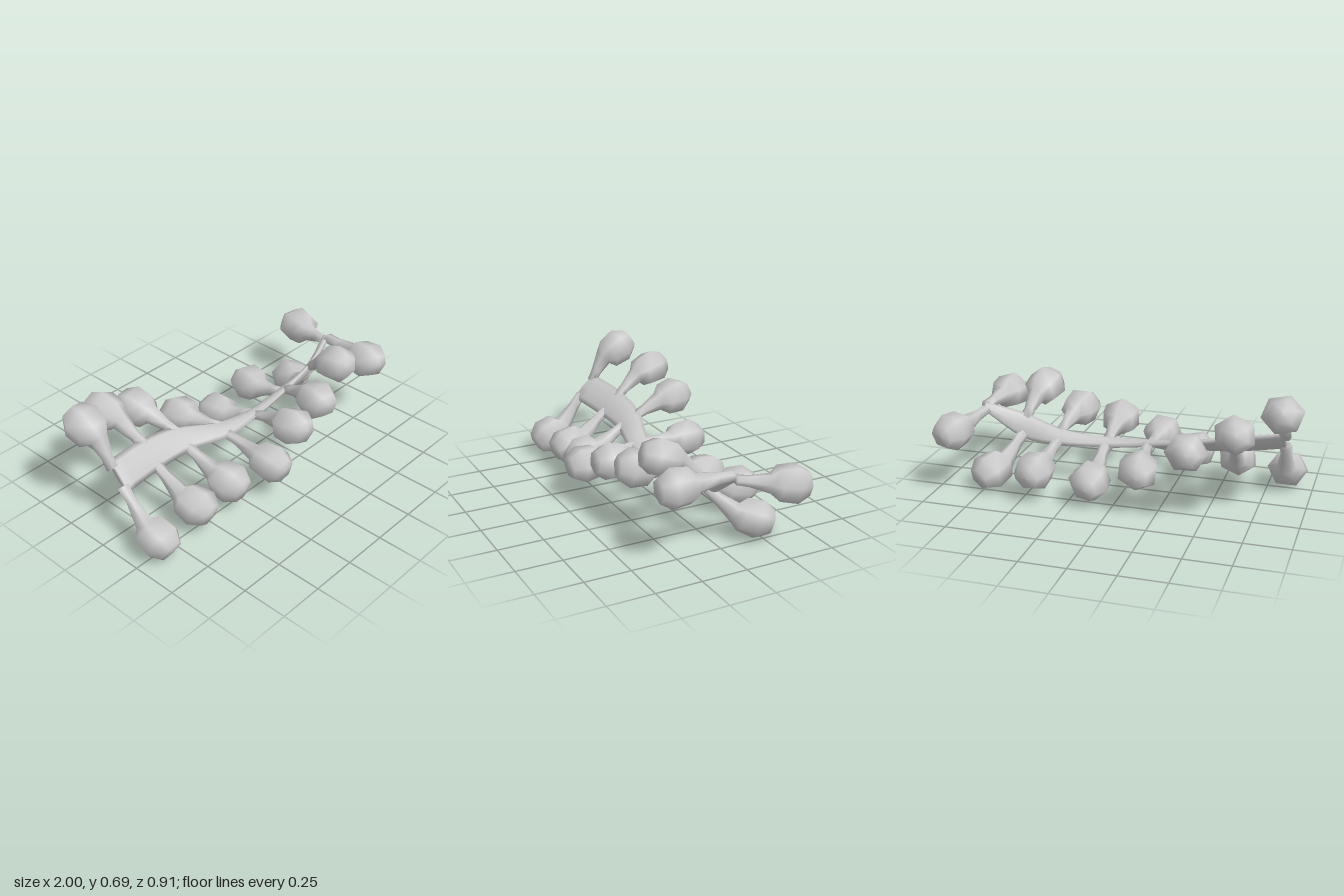
import * as THREE from 'three';

const material = new THREE.MeshStandardMaterial({ color: 0xcccccc, side: THREE.DoubleSide });
const V = (x, y, z) => new THREE.Vector3(x, y, z);

// Spine stations: centre, then half-width vector (y, z) towards the back edge
const stations = [
  [-0.87, 0.375, 0.01, 0.066, -0.066],
  [-0.61, 0.345, -0.035, 0.064, -0.066],
  [-0.375, 0.315, -0.04, 0.042, -0.068],
  [-0.125, 0.275, 0.02, 0.014, -0.06],
  [0.12, 0.255, 0.015, -0.012, -0.042],
  [0.395, 0.265, -0.005, -0.036, -0.036],
  [0.6, 0.305, 0, -0.064, -0.027],
  [0.81, 0.41, -0.04, -0.022, -0.017],
];

// Knob centres, one per station
const backKnobs = [
  [-0.88, 0.59, -0.215], [-0.66, 0.505, -0.33], [-0.42, 0.395, -0.355], [-0.15, 0.235, -0.295],
  [0.125, 0.13, -0.27], [0.43, 0.165, -0.295], [0.715, 0.105, -0.22], [0.89, 0.35, -0.31],
];
const frontKnobs = [
  [-0.855, 0.11, 0.265], [-0.575, 0.145, 0.255], [-0.34, 0.165, 0.265], [-0.115, 0.21, 0.355],
  [0.12, 0.3, 0.305], [0.35, 0.345, 0.28], [0.555, 0.47, 0.245], [0.79, 0.405, 0.28],
];

// Direction square to the ribbon, out of its upper face
const ribbonNormal = (hy, hz) => V(0, -hz, hy).normalize();

// Skin through rings { c, u, v }: centre and the two half-axes of an ellipse
function loft(rings, sides, phase = 0) {
  const positions = [], indices = [], last = (rings.length - 1) * sides;
  rings.forEach(({ c, u, v }, i) => {
    for (let j = 0; j < sides; j++) {
      const a = phase + j / sides * Math.PI * 2;
      const p = c.clone().addScaledVector(u, Math.cos(a)).addScaledVector(v, Math.sin(a));
      positions.push(p.x, p.y, p.z);
      if (i < rings.length - 1) {
        const k = i * sides + j, l = i * sides + (j + 1) % sides;
        indices.push(k, l, k + sides, l, l + sides, k + sides);
      }
    }
  });
  // End caps
  for (let j = 1; j < sides - 1; j++) {
    indices.push(0, j + 1, j, last, last + j, last + j + 1);
  }
  const g = new THREE.BufferGeometry();
  g.setAttribute('position', new THREE.Float32BufferAttribute(positions, 3));
  g.setIndex(indices);
  g.computeVertexNormals();
  return new THREE.Mesh(g, material);
}

// Twisting ribbon with a lens-shaped section, fuller on its underside
function ribbon() {
  const centre = new THREE.CatmullRomCurve3(stations.map(s => V(s[0], s[1], s[2])));
  const width = new THREE.CatmullRomCurve3(stations.map((s, i) => V(i, s[3], s[4])));
  const rings = [];
  for (let i = 0; i <= 28; i++) {
    const u = width.getPoint(i / 28).setX(0);
    const n = ribbonNormal(u.y, u.z);
    const c = centre.getPoint(i / 28).addScaledVector(n, -0.006);
    rings.push({ c, u, v: n.multiplyScalar(0.021) });
  }
  return loft(rings, 8);
}

// Waisted six-sided stalk that bends level and flares into a slightly flattened knob
function stalk(base, knob, phase) {
  const rise = knob.clone().sub(base).normalize();
  const axis = rise.clone().multiply(V(1, 0.5, 1)).normalize();
  const neck = knob.clone().addScaledVector(axis, -0.11);
  const stem = neck.clone().sub(base).normalize();
  const bend = stem.clone().add(axis).normalize();
  const ring = (c, dir, r, flat = 1) => {
    const u = V(1, 0, 0).addScaledVector(dir, -dir.x).normalize();
    const v = dir.clone().cross(u).multiplyScalar(r * flat);
    return { c, u: u.multiplyScalar(r), v };
  };
  const along = d => knob.clone().addScaledVector(axis, d);
  return loft([
    ring(base, stem, 0.036, 0.7),
    ring(base.clone().lerp(neck, 0.4), stem, 0.031),
    ring(neck, bend, 0.053),
    ring(along(-0.068), axis, 0.1, 0.92),
    ring(along(0.025), axis, 0.113, 0.92),
    ring(along(0.09), axis, 0.07, 0.92),
    ring(along(0.098), axis, 0.005),
  ], 6, phase);
}

export function createModel() {
  const model = new THREE.Group();
  model.name = 'twistedBranch';

  const spine = ribbon();
  spine.name = 'spine';
  model.add(spine);

  // A stalk from each edge of the ribbon, just under it, at every station
  stations.forEach(([x, y, z, hy, hz], i) => {
    for (const [side, knobs, sign] of [['back', backKnobs, 1], ['front', frontKnobs, -1]]) {
      const base = V(x, y + sign * hy * 0.55, z + sign * hz * 0.55)
        .addScaledVector(ribbonNormal(hy, hz), -0.012);
      const mesh = stalk(base, V(...knobs[i]), i * 0.4 + (sign > 0 ? 0.25 : 0));
      mesh.name = `${side}Stalk${i + 1}`;
      model.add(mesh);
    }
  });
  return model;
}
